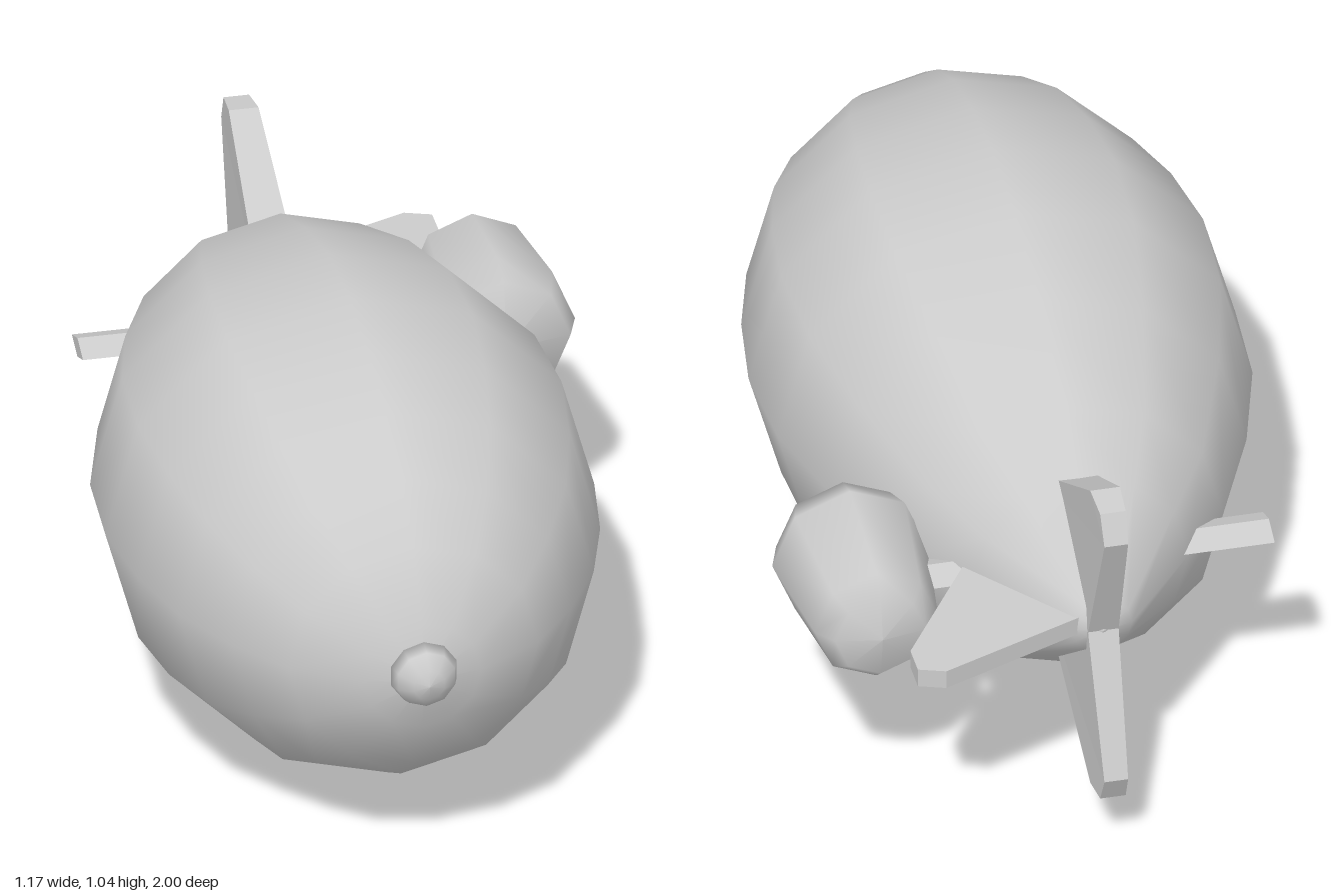
import * as THREE from 'three';

const material = new THREE.MeshStandardMaterial({ color: 0xcccccc, side: THREE.DoubleSide });

// Round body along z from [radius, z] pairs, listed from back to front
function turned(name, profile, sides, x, y) {
  const points = profile.map(([r, z]) => new THREE.Vector2(r, z));
  const mesh = new THREE.Mesh(new THREE.LatheGeometry(points, sides).rotateX(Math.PI / 2), material);
  mesh.name = name;
  mesh.position.set(x, y, 0);
  return mesh;
}

// Tail fin from a [radius, z] outline; half thickness goes from front to back along z
function fin(name, outline, angle, front, back, x, y) {
  const shape = new THREE.Shape(outline.map(([r, z]) => new THREE.Vector2(r, z)));
  const geometry = new THREE.ExtrudeGeometry(shape, { depth: 2, bevelEnabled: false });
  geometry.translate(0, 0, -1).rotateX(Math.PI / 2);
  const p = geometry.attributes.position;
  for (let i = 0; i < p.count; i++) {
    const t = THREE.MathUtils.clamp((-0.64 - p.getZ(i)) / 0.36, 0, 1);
    p.setY(i, p.getY(i) * THREE.MathUtils.lerp(front, back, t));
  }
  geometry.computeVertexNormals();
  const mesh = new THREE.Mesh(geometry, material);
  mesh.name = name;
  mesh.position.set(x, y, 0);
  mesh.rotation.z = angle;
  return mesh;
}

export function createModel() {
  const group = new THREE.Group();
  group.name = 'airship';
  const cx = -0.055, cy = 0.52;

  // Envelope
  const hull = turned('hull', [
    [0, -0.88], [0.065, -0.86], [0.232, -0.65], [0.335, -0.52], [0.44, -0.27], [0.505, -0.035],
    [0.518, 0.185], [0.49, 0.38], [0.44, 0.555], [0.36, 0.705], [0.265, 0.83], [0.125, 0.92], [0, 0.945],
  ], 12, cx, cy);
  hull.scale.x = 1.03;
  group.add(hull);

  // Nose cap
  group.add(turned('noseCap', [
    [0, 0.9], [0.075, 0.935], [0.065, 0.965], [0.035, 0.992], [0, 1],
  ], 10, cx, 0.535));

  // Tail fins
  const upright = [[0, -0.877], [0.15, -0.5], [0.385, -0.893], [0.375, -0.968], [0.31, -1]];
  const level = [[0.045, -0.86], [0.17, -0.5], [0.428, -0.9], [0.428, -0.97], [0.37, -0.99]];
  group.add(fin('upperFin', upright, Math.PI / 2, 0.048, 0.026, cx, cy));
  group.add(fin('lowerFin', upright, -Math.PI / 2, 0.048, 0.026, cx, cy));
  group.add(fin('leftFin', level, 0, 0.02, 0.022, cx, 0.53));

  // Engine strut: flat diamond-section beam through the tail
  const beam = new THREE.CylinderGeometry(0.057, 0.057, 0.78, 4).toNonIndexed();
  beam.rotateZ(Math.PI / 2).scale(1, 0.4, 1);
  beam.computeVertexNormals();
  const strut = new THREE.Mesh(beam, material);
  strut.name = 'engineStrut';
  strut.position.set(-0.09, 0.53, -0.605);
  group.add(strut);

  // Engine pod
  group.add(turned('enginePod', [
    [0, -0.82], [0.1, -0.802], [0.135, -0.76], [0.17, -0.505], [0.146, -0.437], [0, -0.405],
  ], 8, 0.415, 0.53));

  return group;
}
